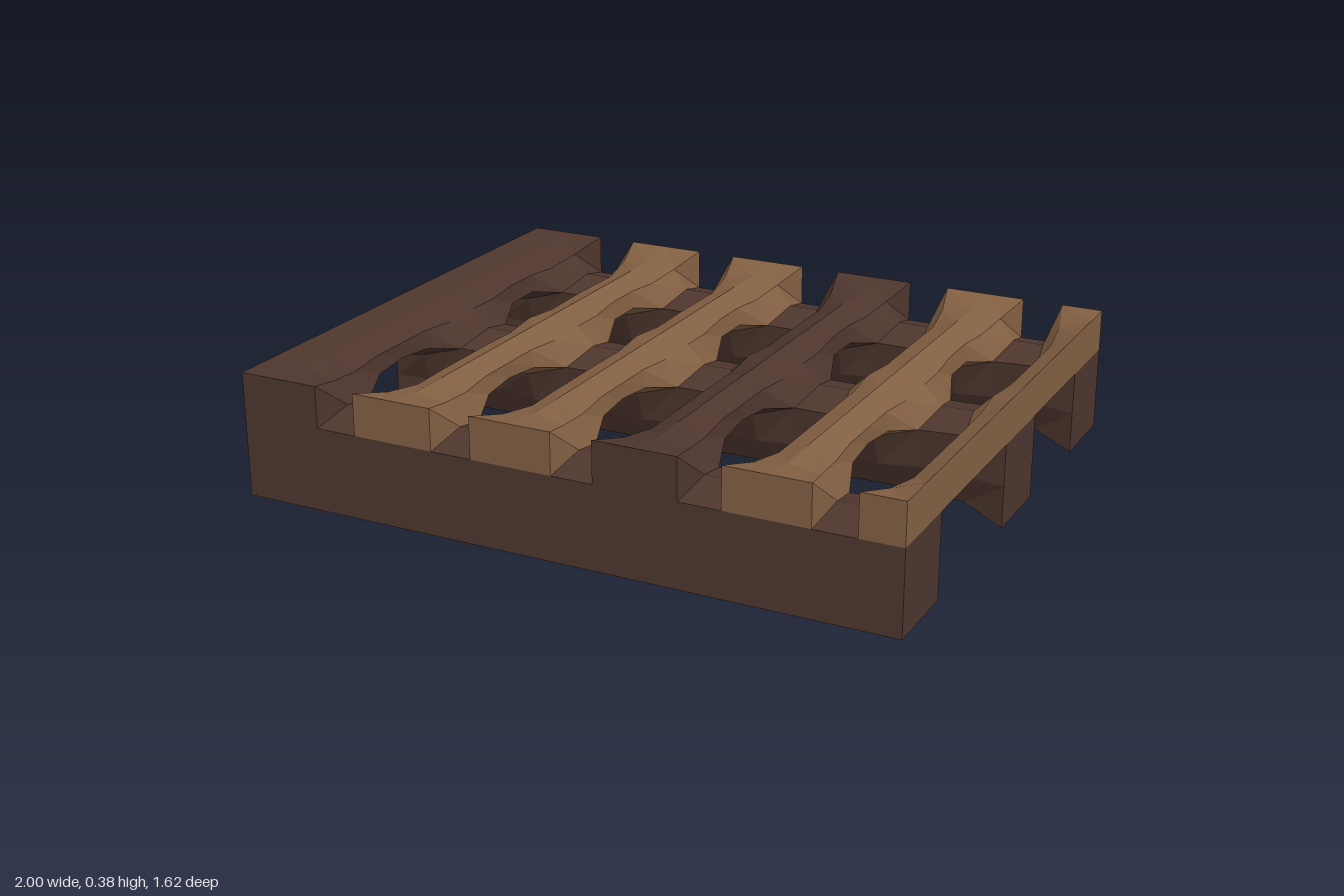
import * as THREE from 'three';

const darkWood = new THREE.MeshStandardMaterial({ name: 'dark wood', color: 0x4e362e, flatShading: true });
const lightWood = new THREE.MeshStandardMaterial({ name: 'light wood', color: 0x836043, flatShading: true });

// Everything sits on a lattice of cubes, SIZE cells along x, y and z
const CELL = 0.125;
const SIZE = [16, 3, 13];

// Parts as blocks of cells: name, material, first corner, last corner
const slat = (name, material, left, right) => ({ name, material, min: [left, 2, 0], max: [right, 3, 13] });
const bearer = (name, back, front) => ({ name, material: darkWood, min: [0, 0, back], max: [16, 2, front] });
const parts = [
  slat('rightEndSlat', darkWood, 0, 2),
  slat('rightOuterSlat', lightWood, 3, 5),
  slat('rightInnerSlat', lightWood, 6, 8),
  slat('middleSlat', darkWood, 9, 11),
  slat('leftOuterSlat', lightWood, 12, 14),
  slat('leftEndSlat', lightWood, 15, 16),
  bearer('backBearer', 0, 2),
  bearer('middleBearer', 5, 7),
  bearer('frontBearer', 11, 13),
];

const isSolid = (cell) => parts.some(({ min, max }) => cell.every((c, k) => c >= min[k] && c < max[k]));

// Exposed square faces of one part, as loops of lattice corners
function exposedFaces({ min, max }) {
  const faces = [];
  for (let x = min[0]; x < max[0]; x++)
    for (let y = min[1]; y < max[1]; y++)
      for (let z = min[2]; z < max[2]; z++)
        for (let axis = 0; axis < 3; axis++)
          for (const side of [0, 1]) {
            const cell = [x, y, z];
            const beyond = [...cell];
            beyond[axis] += side ? 1 : -1;
            if (isSolid(beyond)) continue;
            const loop = [[0, 0], [1, 0], [1, 1], [0, 1]].map(([u, v]) => {
              const corner = [...cell];
              corner[axis] += side;
              corner[(axis + 1) % 3] += u;
              corner[(axis + 2) % 3] += v;
              return corner;
            });
            faces.push(side ? loop : loop.reverse());
          }
  return faces;
}

// Join the corners along face edges so that neighbouring parts wear down together
function linkCorners(faces) {
  const points = new Map();
  const pointAt = (corner) => {
    const key = corner.join();
    if (!points.has(key)) {
      const fixed = [0, 2].some((k) => corner[k] === 0 || corner[k] === SIZE[k]);
      points.set(key, { pos: [...corner], fixed, near: new Set() });
    }
    return points.get(key);
  };
  for (const loop of faces) {
    loop.forEach((corner, i) => {
      const a = pointAt(corner), b = pointAt(loop[(i + 1) % 4]);
      a.near.add(b);
      b.near.add(a);
    });
  }
  return points;
}

// Wear: each free point moves to the average of its neighbours; outer ends and sides stay square
function wear(points, passes) {
  for (let pass = 0; pass < passes; pass++) {
    const moved = [...points.values()].filter((p) => !p.fixed).map((p) => {
      const near = [...p.near];
      return [p, [0, 1, 2].map((k) => near.reduce((sum, q) => sum + q.pos[k], 0) / near.length)];
    });
    for (const [p, pos] of moved) p.pos = pos;
  }
}

function partGeometry(faces, points) {
  const position = [];
  for (const loop of faces) {
    const quad = loop.map((corner) => {
      const [x, y, z] = points.get(corner.join()).pos;
      return [(x - SIZE[0] / 2) * CELL, y * CELL, (z - SIZE[2] / 2) * CELL];
    });
    for (const i of [0, 1, 2, 0, 2, 3]) position.push(...quad[i]);
  }
  const geometry = new THREE.BufferGeometry();
  geometry.setAttribute('position', new THREE.Float32BufferAttribute(position, 3));
  geometry.computeVertexNormals();
  return geometry;
}

export function createModel() {
  const group = new THREE.Group();
  group.name = 'pallet';
  const faceLists = parts.map(exposedFaces);
  const points = linkCorners(faceLists.flat());
  wear(points, 2);
  parts.forEach(({ name, material }, i) => {
    const mesh = new THREE.Mesh(partGeometry(faceLists[i], points), material);
    mesh.name = name;
    group.add(mesh);
  });
  return group;
}
